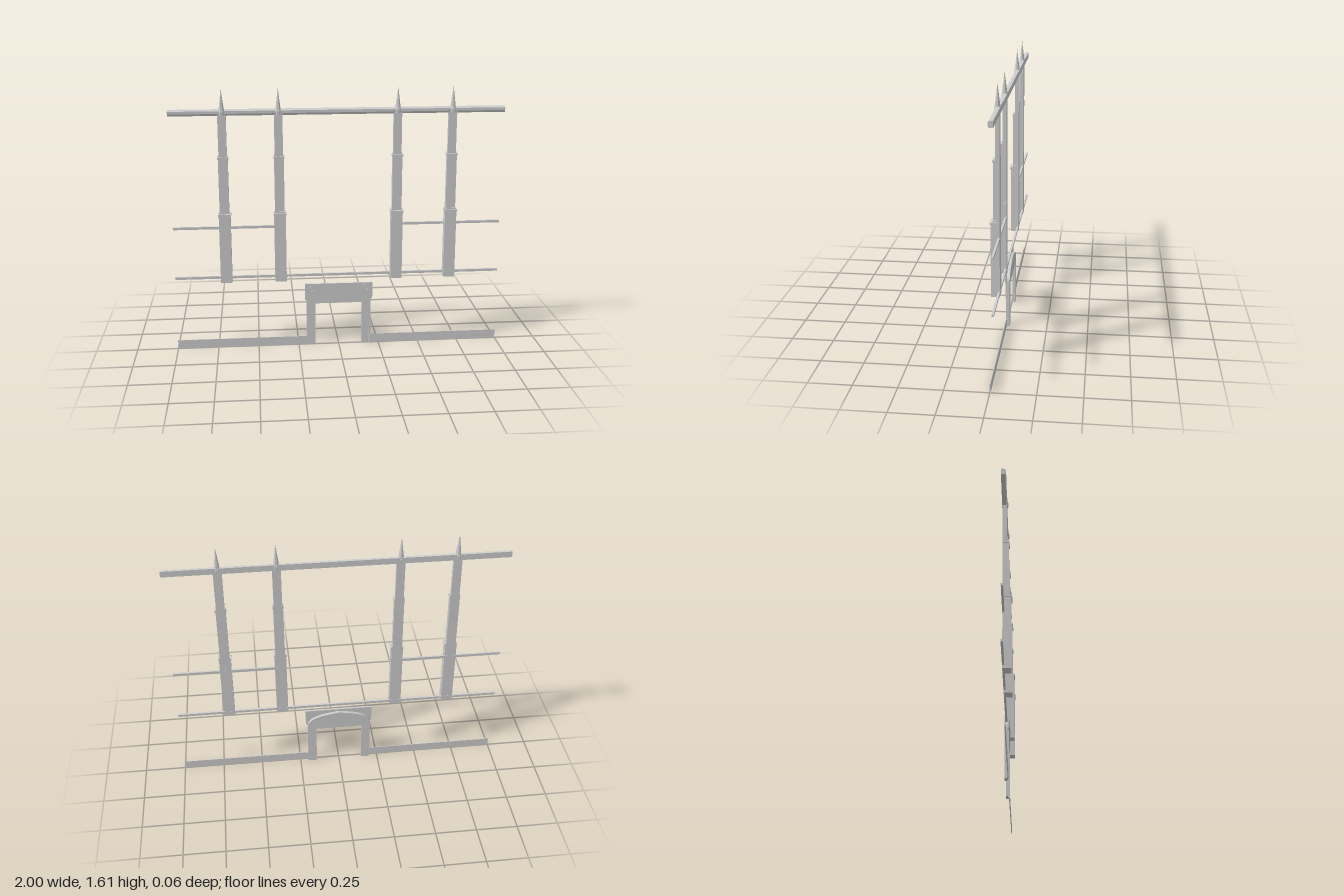
import * as THREE from 'three';

const stone = new THREE.MeshStandardMaterial({ color: 0xcccccc });
stone.name = 'pale stone';

function add(parent, name, geometry) {
  const mesh = new THREE.Mesh(geometry, stone);
  mesh.name = name;
  parent.add(mesh);
  return mesh;
}

// Box given by its limits on each axis
function block(parent, name, [x0, x1], [y0, y1], [z0, z1]) {
  const mesh = add(parent, name, new THREE.BoxGeometry(x1 - x0, y1 - y0, z1 - z0));
  mesh.position.set((x0 + x1) / 2, (y0 + y1) / 2, (z0 + z1) / 2);
  return mesh;
}

// Outline extruded from zBack to zFront
function plate(parent, name, points, zBack, zFront) {
  const geo = new THREE.ExtrudeGeometry(new THREE.Shape(points), { depth: zFront - zBack, bevelEnabled: false });
  const mesh = add(parent, name, geo);
  mesh.position.z = zBack;
  return mesh;
}

// Flattened pointed arch, running from the right springing to the left one
function archCurve({ w, spring, apex }) {
  const half = new THREE.CubicBezierCurve(
    new THREE.Vector2(w, spring), new THREE.Vector2(w, spring + (apex - spring) * 0.62),
    new THREE.Vector2(w * 0.6, apex - 0.016), new THREE.Vector2(0, apex)).getPoints(12);
  const mirrored = half.slice(0, -1).reverse().map((p) => new THREE.Vector2(-p.x, p.y));
  return [...half, ...mirrored];
}

const v = (x, y) => new THREE.Vector2(x, y);

function createButtress(x) {
  const g = new THREE.Group();
  g.name = 'buttress';
  // Three diminishing stages: half width, height range, front depth
  const stages = [
    [0.035, 0.43, 0.86, 0.026],
    [0.029, 0.86, 1.205, 0.012],
    [0.025, 1.205, 1.47, 0.0],
  ];
  stages.forEach(([w, y0, y1, z], i) => {
    block(g, 'buttressStage', [-w, w], [y0, y1], [-0.023, z]);
    if (i < 2) block(g, 'stageLip', [-w - 0.004, w + 0.004], [y1 - 0.01, y1 + 0.002], [-0.023, z + 0.004]);
    if (i > 0) block(g, 'stageFoot', [-w - 0.003, w + 0.003], [y0, y0 + 0.012], [-0.023, z + 0.003]);
  });
  // Octagonal pinnacle
  const profile = [v(0, 1.455), v(0.019, 1.455), v(0.02, 1.475), v(0.016, 1.49), v(0.008, 1.55), v(0, 1.612)];
  const geo = new THREE.LatheGeometry(profile, 8, Math.PI / 8).toNonIndexed();
  geo.computeVertexNormals();
  add(g, 'pinnacle', geo).position.z = -0.01;
  g.position.x = x;
  return g;
}

function createDoorway() {
  const g = new THREE.Group();
  g.name = 'doorway';
  const lines = [
    { w: 0.2, spring: 0.285, apex: 0.386 },
    { w: 0.188, spring: 0.282, apex: 0.374 },
    { w: 0.167, spring: 0.278, apex: 0.358 },
    { w: 0.145, spring: 0.272, apex: 0.343 },
  ];
  const fronts = [0.002, -0.004, -0.01];

  // Stepped mouldings running up the jambs and round the arch
  fronts.forEach((zf, i) => {
    const a = lines[i], b = lines[i + 1];
    const outline = [v(a.w, 0), ...archCurve(a), v(-a.w, 0), v(-b.w, 0), ...archCurve(b).reverse(), v(b.w, 0)];
    plate(g, 'archMoulding', outline, -0.022, zf);
  });

  // Solid panel filling the arch head, with upright ribs
  const inner = lines[3];
  plate(g, 'tympanum', [v(inner.w, 0.264), ...archCurve(inner), v(-inner.w, 0.264)], -0.02, -0.015);
  for (const x of [-0.07, 0, 0.07]) {
    block(g, 'tympanumRib', [x - 0.002, x + 0.002], [0.264, 0.325], [-0.016, -0.013]);
  }

  // Spandrel plate above the arch
  plate(g, 'spandrel', [v(0.206, 0.3), v(0.206, 0.398), v(-0.206, 0.398), v(-0.206, 0.3),
    ...archCurve(lines[0]).reverse()], -0.004, 0.002);
  block(g, 'hoodMould', [-0.21, 0.21], [0.39, 0.4], [-0.005, 0.005]);
  for (const s of [-1, 1]) {
    const mid = s * 0.206;
    block(g, 'hoodDrop', [mid - 0.004, mid + 0.004], [0.295, 0.395], [-0.005, 0.005]);
    add(g, 'spandrelRing', new THREE.TorusGeometry(0.018, 0.0025, 6, 20)).position.set(s * 0.168, 0.367, 0.002);
  }
  return g;
}

export function createModel() {
  const model = new THREE.Group();
  model.name = 'facadeTrim';

  for (const x of [-0.687, -0.356, 0.354, 0.685]) model.add(createButtress(x));
  model.add(createDoorway());

  // Parapet rail with a chamfered front, extruded along x
  const rail = new THREE.Shape([v(0.026, 1.452), v(0.026, 1.488), v(0.009, 1.488),
    v(-0.002, 1.48), v(-0.002, 1.464), v(0.004, 1.452)]);
  const railGeo = new THREE.ExtrudeGeometry(rail, { depth: 2, bevelEnabled: false });
  railGeo.rotateY(Math.PI / 2);
  railGeo.translate(-1, 0, 0);
  add(model, 'parapetRail', railGeo);

  // String courses and plinth
  block(model, 'lowerStringCourse', [-1, 1], [0.446, 0.461], [-0.024, -0.012]);
  for (const s of [-1, 1]) {
    const span = (a, b) => (s > 0 ? [a, b] : [-b, -a]);
    block(model, 'upperStringCourse', span(0.37, 1), [0.762, 0.777], [-0.024, -0.012]);
    block(model, 'plinth', span(0.2, 1), [0, 0.054], [-0.004, 0]);
  }
  return model;
}
